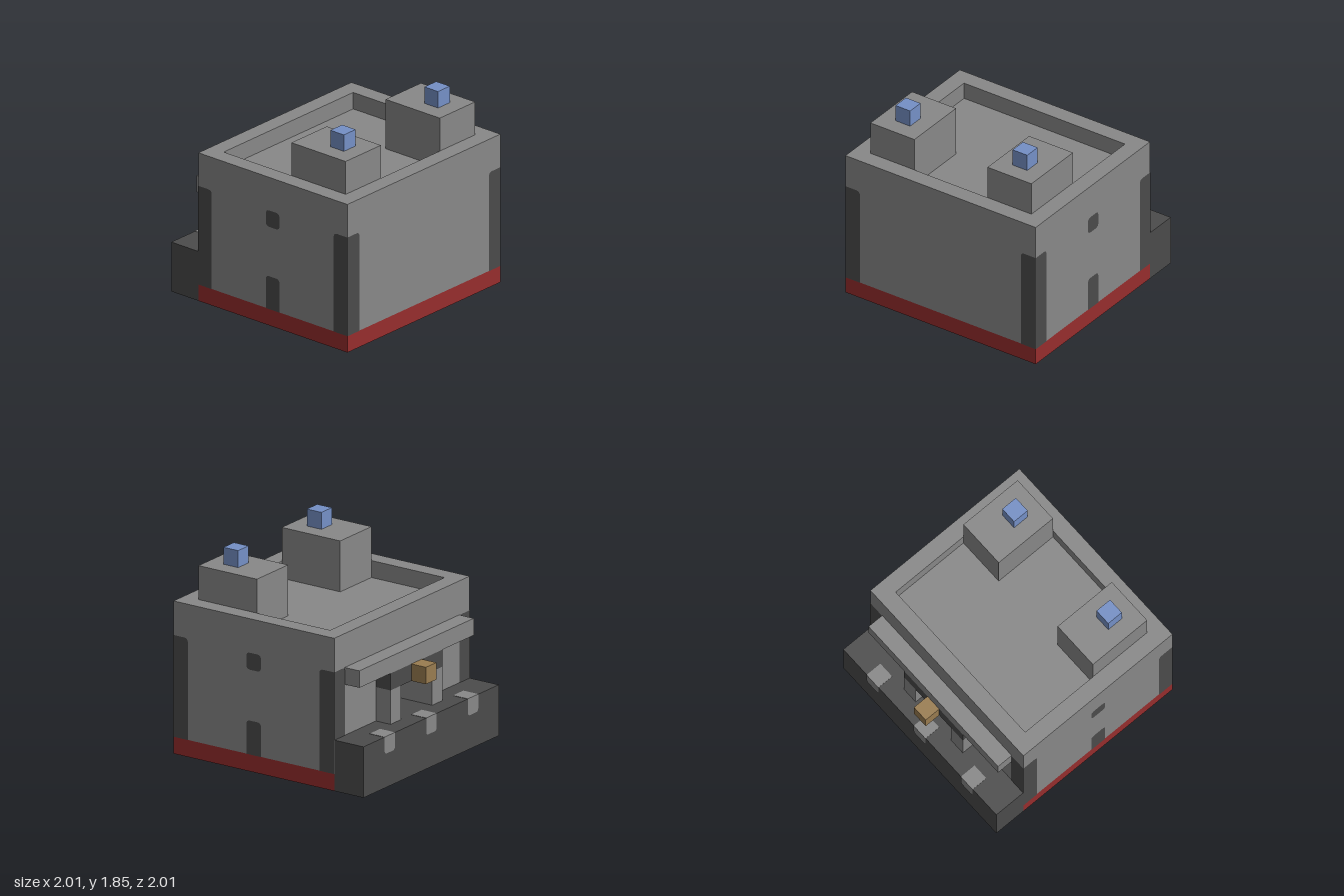
import * as THREE from 'three';

// All sizes are in blocks; the model is 13 blocks wide and deep.
const BLOCK = 2 / 13;
const LIFT = 0.02; // painted plates sit just off the wall

export function createModel() {
  const root = new THREE.Group();
  root.name = 'blockFort';
  const material = (name, color) => {
    const m = new THREE.MeshStandardMaterial({ color });
    m.name = name;
    return m;
  };
  const stone = material('stoneGrey', 0x888888);
  const dark = material('darkStone', 0x4b4b4b);
  const red = material('redBase', 0x962d2d);
  const blue = material('blueLamp', 0x7590c6);
  const wood = material('wood', 0x997c50);

  const add = (name, geometry, mat) => {
    const mesh = new THREE.Mesh(geometry, mat);
    mesh.name = name;
    root.add(mesh);
    return mesh;
  };

  // Box given by its limits on each axis
  const box = (name, mat, [x0, x1], [y0, y1], [z0, z1]) =>
    add(name, new THREE.BoxGeometry(x1 - x0, y1 - y0, z1 - z0), mat)
      .position.set((x0 + x1) / 2, (y0 + y1) / 2, (z0 + z1) / 2);

  // Floor plan of [x, z] corners raised from y0 to y1, with an optional hole
  const plan = (name, mat, points, y0, y1, hole) => {
    const toVectors = (list) => list.map(([x, z]) => new THREE.Vector2(x, -z));
    const shape = new THREE.Shape(toVectors(points));
    if (hole) shape.holes.push(new THREE.Path(toVectors(hole)));
    const g = new THREE.ExtrudeGeometry(shape, { depth: y1 - y0, bevelEnabled: false });
    g.rotateX(-Math.PI / 2).translate(0, y0, 0);
    add(name, g, mat);
  };
  const rect = (x, z0, z1) => [[-x, z1], [x, z1], [x, z0], [-x, z0]];
  const notched = (n) => [
    [-6.5, 6.5], [6.5, 6.5], [6.5, -4.5], [n, -4.5],
    [n, -2.5], [-n, -2.5], [-n, -4.5], [-6.5, -4.5],
  ];

  // Flat plate on a wall; radii run bottom left, bottom right, top right, top left
  const plate = (name, mat, turn, distance, [x0, x1], [y0, y1], [a, b, c, d]) => {
    const s = new THREE.Shape();
    s.moveTo(x0 + a, y0);
    s.lineTo(x1 - b, y0);
    s.quadraticCurveTo(x1, y0, x1, y0 + b);
    s.lineTo(x1, y1 - c);
    s.quadraticCurveTo(x1, y1, x1 - c, y1);
    s.lineTo(x0 + d, y1);
    s.quadraticCurveTo(x0, y1, x0, y1 - d);
    s.lineTo(x0, y0 + a);
    s.quadraticCurveTo(x0, y0, x0 + a, y0);
    const g = new THREE.ShapeGeometry(s, 4);
    g.translate(0, 0, distance + LIFT).rotateY(turn);
    add(name, g, mat);
  };

  // Red base and main walls, with a passage at the back
  plan('base', red, notched(2.5), 0, 1);
  plan('lowerWalls', stone, notched(1.5), 1, 5);
  box('upperWalls', stone, [-6.5, 6.5], [5, 8], [-4.5, 6.5]);
  plan('parapet', stone, rect(6.5, -4.5, 6.5), 8, 9, rect(5.5, -3.5, 5.5));

  // Dark terrace and passage floor
  box('terrace', dark, [-6.5, 6.5], [0, 3], [-6.5, -4.5]);
  box('passageFoundation', dark, [-2.5, 2.5], [0, 1], [-4.5, -2.5]);
  box('passageFloor', dark, [-1.5, 1.5], [1, 3], [-4.5, -2.5]);

  // Porch with a wooden block above the entrance
  box('porchRoof', stone, [-5.5, 5.5], [6, 7], [-5.5, -4.5]);
  box('doorLintel', dark, [-2.5, 2.5], [5, 6], [-5.5, -4.5]);
  box('woodBlock', wood, [-0.5, 0.5], [5, 6], [-6.5, -5.5]);

  // Light stones set in the terrace edge
  for (const x of [-4, 0, 4]) {
    plate('edgeStoneFace', stone, Math.PI, 6.5, [x - 0.5, x + 0.5], [2, 3], [0.22, 0.22, 0, 0]);
    box('edgeStoneTop', stone, [x - 0.5, x + 0.5], [3, 3 + LIFT], [-6.5 - LIFT, -5.5]);
  }

  const r = 0.25;
  for (const side of [-1, 1]) {
    const span = (a, b) => (side > 0 ? [a, b] : [-b, -a]);

    // Towers, lamps and porch columns
    box('tower', stone, span(2.5, 5.5), [8, 11], [1.5, 5.5]);
    box('lamp', blue, span(3.5, 4.5), [11, 12], [3.5, 4.5]);
    box('porchColumn', stone, span(1.5, 2.5), [3, 5], [-5.5, -4.5]);

    // Dark corner strips on the front and back walls
    const inner = side > 0 ? [0, 0, 0, r] : [0, 0, r, 0];
    plate('frontCornerStrip', dark, 0, 6.5, span(5.5, 6.5), [1, 7], inner);
    plate('backCornerStrip', dark, Math.PI, 4.5, span(5.5, 6.5), [3, 7], inner);

    // Corner strips and openings on the side wall
    const turn = side * Math.PI / 2;
    const along = (z0, z1) => (side > 0 ? [-z1, -z0] : [z0, z1]);
    const outer = side > 0 ? [0, 0, r, 0] : [0, 0, 0, r];
    plate('sideFrontStrip', dark, turn, 6.5, along(5.5, 6.5), [1, 7], outer);
    plate('sideBackStrip', dark, turn, 6.5, along(-4.5, -3.5), [1, 7], inner);
    plate('sideWindow', dark, turn, 6.5, along(0.5, 1.5), [6, 7], [r, r, r, r]);
    plate('sideDoor', dark, turn, 6.5, along(0.5, 1.5), [1, 3], [0, 0, r, r]);
  }

  root.scale.setScalar(BLOCK);
  const model = new THREE.Group();
  model.name = 'model';
  model.add(root);
  return model;
}
